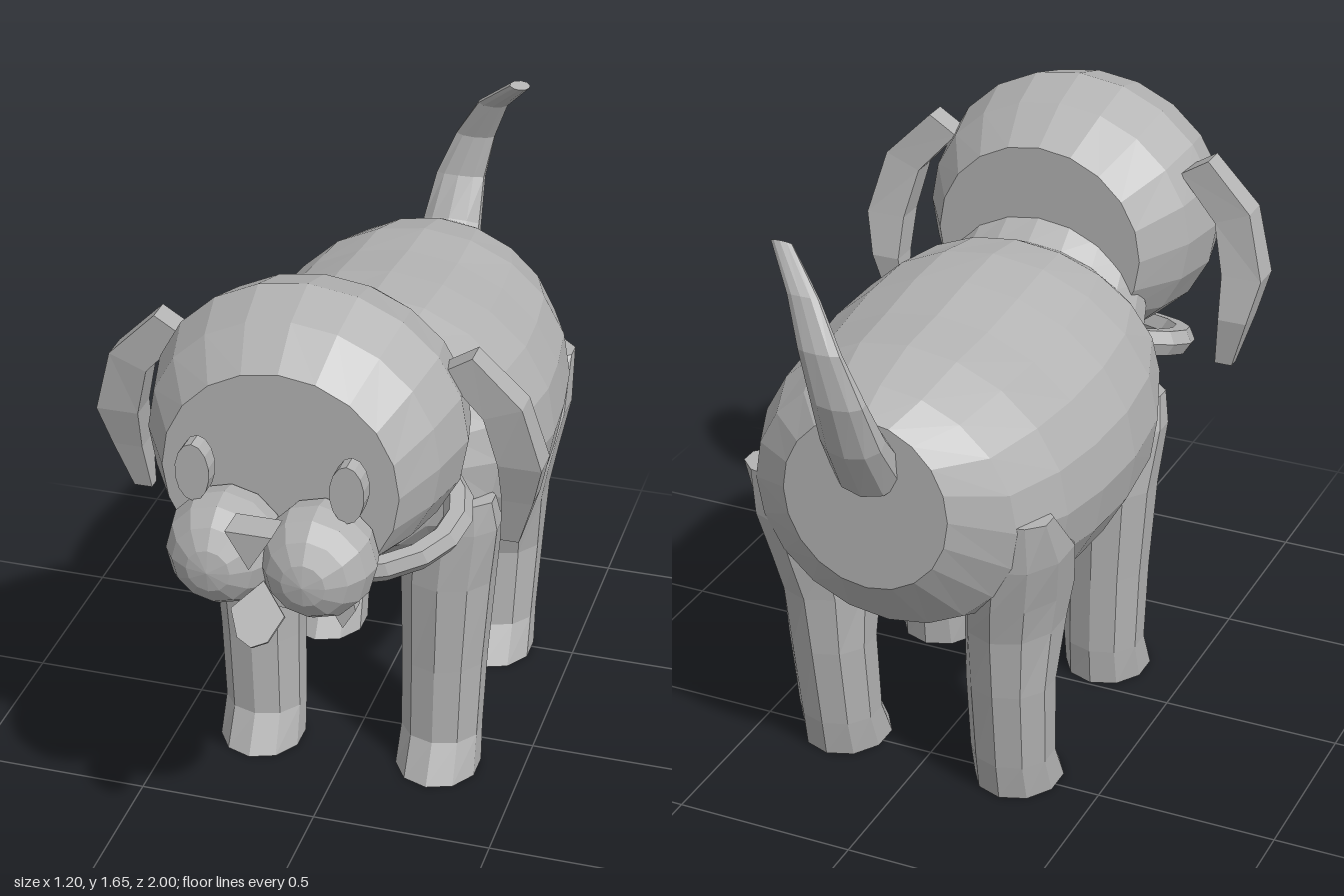
import * as THREE from 'three';

const coat = new THREE.MeshStandardMaterial({ color: 0xb3b3b3 });
coat.name = 'plain grey';
const V = (x, y, z) => new THREE.Vector3(x, y, z);

// Faceted mesh with one normal per face
function facet(name, geo) {
  const g = geo.index ? geo.toNonIndexed() : geo;
  g.computeVertexNormals();
  const mesh = new THREE.Mesh(g, coat);
  mesh.name = name;
  return mesh;
}

// Skin a list of closed rings (arrays of points) and cap both ends
function skin(name, rings) {
  const n = rings[0].length, tris = [];
  const tri = (a, b, c) => tris.push([a, b, c]);
  for (let i = 0; i < rings.length - 1; i++) {
    for (let j = 0; j < n; j++) {
      const k = (j + 1) % n, p = rings[i], q = rings[i + 1];
      tri(p[j], p[k], q[k]);
      tri(p[j], q[k], q[j]);
    }
  }
  const last = rings[rings.length - 1];
  for (let j = 1; j < n - 1; j++) {
    tri(rings[0][0], rings[0][j + 1], rings[0][j]);
    tri(last[0], last[j], last[j + 1]);
  }
  // Turn the faces outward when the rings run the other way
  let volume = 0;
  for (const [a, b, c] of tris) volume += a.dot(b.clone().cross(c));
  const pts = tris.flatMap(([a, b, c]) => (volume < 0 ? [a, c, b] : [a, b, c]));
  return facet(name, new THREE.BufferGeometry().setFromPoints(pts));
}

// Ellipse ring from a centre and two half axes
function ring(c, u, v, n) {
  return Array.from({ length: n }, (_, i) => {
    const a = (i / n) * Math.PI * 2;
    return c.clone().addScaledVector(v, Math.cos(a)).addScaledVector(u, Math.sin(a));
  });
}

// Upright ring given by its top and bottom points [y, z] and half width
function slice([yTop, zTop, yBottom, zBottom, half]) {
  const c = V(0, (yTop + yBottom) / 2, (zTop + zBottom) / 2);
  return ring(c, V(half, 0, 0), V(0, (yTop - yBottom) / 2, (zTop - zBottom) / 2), 20);
}

// Level ring of a leg: height, back z, front z, inner x, outer x
function legRing([y, z0, z1, x0, x1], side) {
  const c = V(side * (x0 + x1) / 2, y, (z0 + z1) / 2);
  return ring(c, V((x1 - x0) / 2, 0, 0), V(0, 0, (z1 - z0) / 2), 10);
}

// Flat outline pushed out along z
function plate(name, outline, z, depth) {
  const shape = new THREE.Shape(outline.map(([x, y]) => new THREE.Vector2(x, y)));
  const geo = new THREE.ExtrudeGeometry(shape, { depth, bevelEnabled: false });
  geo.translate(0, 0, z);
  return facet(name, geo);
}

export function createModel() {
  const dog = new THREE.Group();
  dog.name = 'dog';

  // Trunk and neck
  dog.add(skin('body', [
    [1.32, 0.23, 0.84, 0.33, 0.30],
    [1.27, 0.15, 0.74, 0.31, 0.31],
    [1.31, 0.07, 0.65, 0.15, 0.41],
    [1.33, -0.08, 0.50, 0.0, 0.465],
    [1.32, -0.25, 0.475, -0.22, 0.48],
    [1.30, -0.43, 0.475, -0.40, 0.465],
    [1.29, -0.60, 0.50, -0.58, 0.44],
    [1.25, -0.76, 0.56, -0.74, 0.37],
    [1.20, -0.86, 0.72, -0.86, 0.23],
  ].map(slice)));

  // Head, flat at the face and at the back
  dog.add(skin('head', [
    [1.52, 0.22, 0.95, 0.22, 0.30],
    [1.60, 0.36, 0.90, 0.36, 0.39],
    [1.64, 0.50, 0.88, 0.50, 0.42],
    [1.60, 0.64, 0.90, 0.64, 0.385],
    [1.51, 0.75, 0.91, 0.75, 0.31],
  ].map(slice)));

  const frontLeg = [
    [0, 0.01, 0.28, 0.14, 0.38],
    [0.11, 0.0, 0.22, 0.145, 0.375],
    [0.35, -0.01, 0.225, 0.145, 0.385],
    [0.62, -0.02, 0.235, 0.14, 0.405],
    [0.80, 0.03, 0.235, 0.15, 0.425],
    [0.89, 0.08, 0.225, 0.19, 0.41],
  ];
  const hindLeg = [
    [0, -0.62, -0.35, 0.14, 0.38],
    [0.11, -0.64, -0.415, 0.145, 0.375],
    [0.35, -0.675, -0.43, 0.145, 0.385],
    [0.53, -0.70, -0.365, 0.14, 0.40],
    [0.64, -0.73, -0.345, 0.15, 0.42],
    [0.78, -0.76, -0.42, 0.17, 0.445],
    [0.92, -0.76, -0.60, 0.21, 0.435],
  ];
  // Ear sections: inner x, y; outer x, y; back z, front z
  const ear = [
    [0.34, 1.43, 0.42, 1.48, 0.41, 0.48],
    [0.45, 1.31, 0.55, 1.35, 0.395, 0.475],
    [0.485, 1.17, 0.60, 1.17, 0.365, 0.455],
    [0.49, 1.05, 0.572, 1.05, 0.335, 0.42],
    [0.48, 0.91, 0.53, 0.91, 0.35, 0.385],
  ];

  for (const side of [1, -1]) {
    const word = side > 0 ? 'left' : 'right';
    dog.add(skin(word + 'FrontLeg', frontLeg.map((r) => legRing(r, side))));
    dog.add(skin(word + 'HindLeg', hindLeg.map((r) => legRing(r, side))));
    dog.add(skin(word + 'Ear', ear.map(([xi, yi, xo, yo, z0, z1]) => [
      V(side * xi, yi, z0), V(side * xo, yo, z0), V(side * xo, yo, z1), V(side * xi, yi, z1),
    ])));

    // Muzzle cheek with its pole toward the front
    const cheek = facet(word + 'Cheek', new THREE.SphereGeometry(1, 12, 8).rotateX(Math.PI / 2)
      .scale(0.15, 0.152, 0.15));
    cheek.position.set(side * 0.123, 1.047, 0.815);
    dog.add(cheek);

    // Oval eye
    const eye = facet(word + 'Eye', new THREE.CylinderGeometry(1, 1, 1, 14).rotateX(Math.PI / 2)
      .scale(0.045, 0.08, 0.05));
    eye.position.set(side * 0.2, 1.25, 0.81);
    dog.add(eye);
  }

  // Nose and tongue
  dog.add(plate('nose', [[-0.06, 1.2], [0, 1.1], [0.06, 1.2]], 0.91, 0.09));
  const tongue = plate('tongue',
    [[-0.07, 0.09], [-0.04, 0.02], [0, 0], [0.04, 0.02], [0.07, 0.09], [0, 0.17]], -0.005, 0.01);
  tongue.position.set(0, 0.87, 0.995);
  tongue.rotation.x = -0.72;
  dog.add(tongue);

  // Collar and bone tag
  const collar = facet('collar', new THREE.TorusGeometry(1, 0.11, 6, 20).rotateX(Math.PI / 2)
    .scale(0.362, 0.36, 0.25));
  collar.position.set(0, 0.945, 0.37);
  collar.rotation.x = 0.32;
  dog.add(collar);
  const half = [[0.1, 0.745], [0.12, 0.71], [0.155, 0.77], [0.14, 0.84], [0.1, 0.815]];
  const bone = half.concat(half.map(([x, y]) => [-x, y]).reverse());
  dog.add(plate('boneTag', bone, 0.57, 0.04));

  // Tail sections: centre, half width, half thickness, slope angle in the side plane
  dog.add(skin('tail', [
    [0, 1.05, -0.83, 0.1, 0.075, 0.7],
    [0, 1.17, -0.915, 0.088, 0.055, 1.0],
    [0.01, 1.30, -0.968, 0.075, 0.035, 1.3],
    [0.05, 1.43, -0.978, 0.06, 0.022, 1.7],
    [0.11, 1.55, -0.94, 0.045, 0.018, 2.0],
    [0.205, 1.645, -0.865, 0.03, 0.015, 2.3],
  ].map(([x, y, z, w, t, a]) =>
    ring(V(x, y, z), V(w, 0, 0), V(0, t * Math.cos(a), t * Math.sin(a)), 10))));

  return dog;
}
